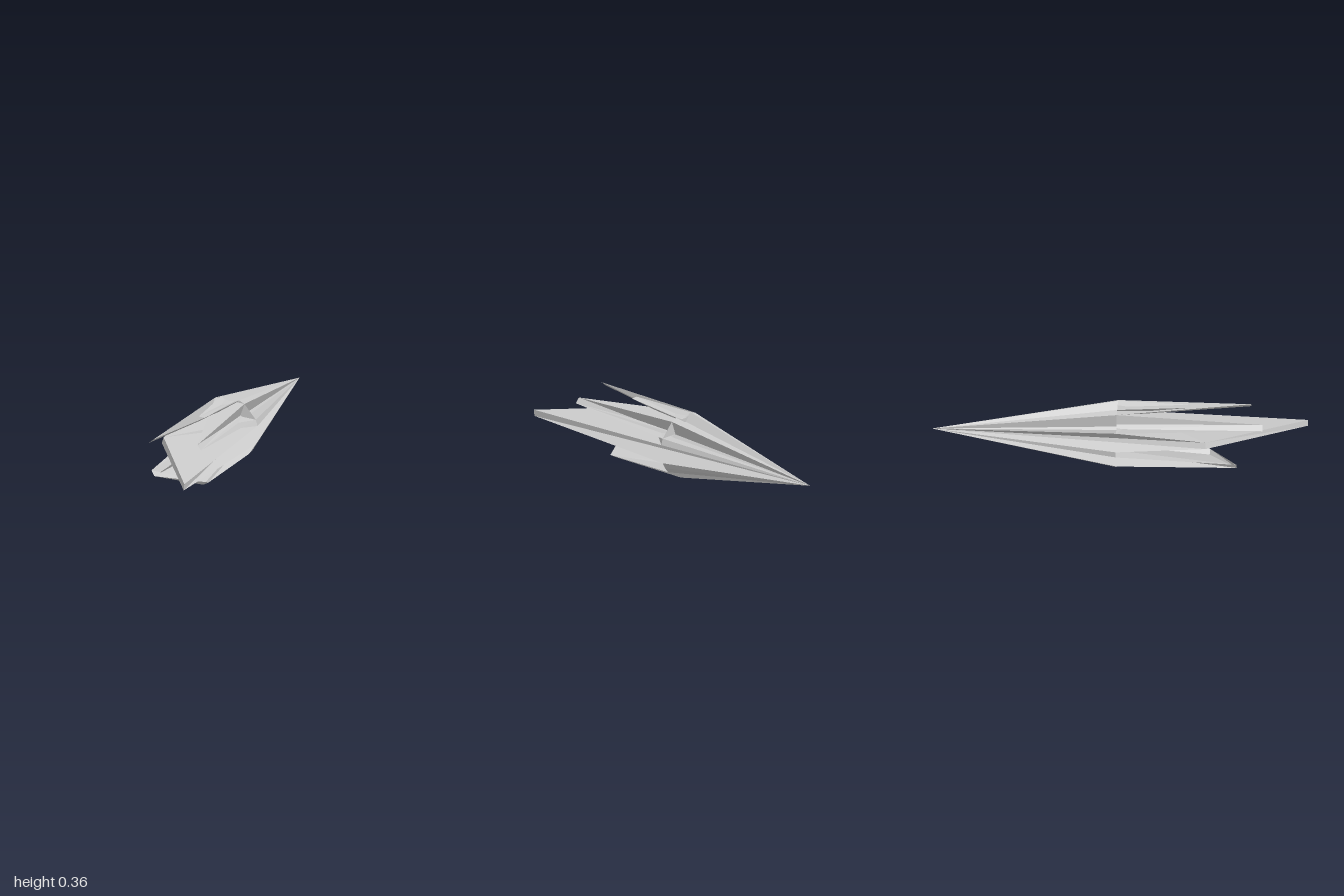
import * as THREE from 'three';

const SIDES = 32, R = 0.179, CY = 0.18, RIM = -0.01;

// How far forward the shard corners reach; other rim corners stay at RIM.
// Corners count clockwise from the top, seen from the front.
const REACH = {
  0: 0.38, 1: 0.38, 4: 0.7, 5: 0.7, 8: 1, 9: 1, 13: 0.48, 14: 0.48,
  '-3': 0.77, '-4': 0.77, '-6': 0.47, '-7': 0.47, '-10': 0.635, '-11': 0.635,
};

function rim(k) {
  const a = (k / SIDES) * Math.PI * 2;
  return [R * Math.sin(a), CY + R * Math.cos(a), REACH[k] ?? RIM];
}

// A faceted sheet from polygons; each corner is a rim index or a point
function facets(name, polygons) {
  const pos = [];
  for (const poly of polygons) {
    const p = poly.map((c) => (Array.isArray(c) ? c : rim(c)));
    for (let i = 1; i < p.length - 1; i++) pos.push(...p[0], ...p[i], ...p[i + 1]);
  }
  const geo = new THREE.BufferGeometry();
  geo.setAttribute('position', new THREE.Float32BufferAttribute(pos, 3));
  geo.computeVertexNormals();
  const mat = new THREE.MeshStandardMaterial({
    color: 0xcccccc, flatShading: true, side: THREE.DoubleSide,
  });
  const mesh = new THREE.Mesh(geo, mat);
  mesh.name = name;
  return mesh;
}

export function createModel() {
  const model = new THREE.Group();
  model.name = 'splinteredSpike';

  // Long spike: a fan from the rear point to the uneven rim
  const tip = [0, CY, -1];
  const spike = [];
  for (let k = -15; k <= 16; k++) spike.push([tip, k, k === 16 ? -15 : k + 1]);
  model.add(facets('spike', spike));

  // Inner feet of the three upper shards
  const leftFoot = [[-0.09, 0.27, RIM], [-0.068, 0.285, RIM]];
  const topFoot = [[0, 0.33, RIM], [0.03, 0.33, RIM]];
  const rightFoot = [[0.08, 0.26, RIM], [0.095, 0.245, RIM]];

  // Flat face closing the upper half
  model.add(facets('upperFace', [
    [6, 3, 2, ...topFoot.slice().reverse(), -2, leftFoot[1], leftFoot[0], -5],
    [-5, -6, 6],
  ]));

  // Upper shards
  model.add(facets('upperSideShard', [
    [-2, -3, leftFoot[1]], [-3, -4, leftFoot[0], leftFoot[1]], [-4, -5, leftFoot[0]],
  ]));
  model.add(facets('topShard', [
    [-1, topFoot[0], 0], [0, topFoot[0], topFoot[1], 1], [1, topFoot[1], 2],
  ]));
  model.add(facets('upperLongShard', [
    [-2, 5, 4], [-2, 4, 3], [-2, rightFoot[0], 5],
    [5, rightFoot[0], rightFoot[1]], [5, rightFoot[1], 6],
  ]));

  // Broad middle blade with a slanted front edge
  model.add(facets('middleBlade', [
    [-6, 7, 6], [-6, 8, 7],
    [-6, -7, 9, 8],
    [-7, -8, 9], [-8, 10, 9],
  ]));

  // Lower blade and the flat face beneath it
  model.add(facets('lowerBlade', [
    [-10, -11, 13],
    [-11, 14, 13], [-11, -12, 14], [-12, 15, 14],
  ]));
  model.add(facets('lowerFace', [[-12, -13, -14, -15, 16, 15]]));

  return model;
}
